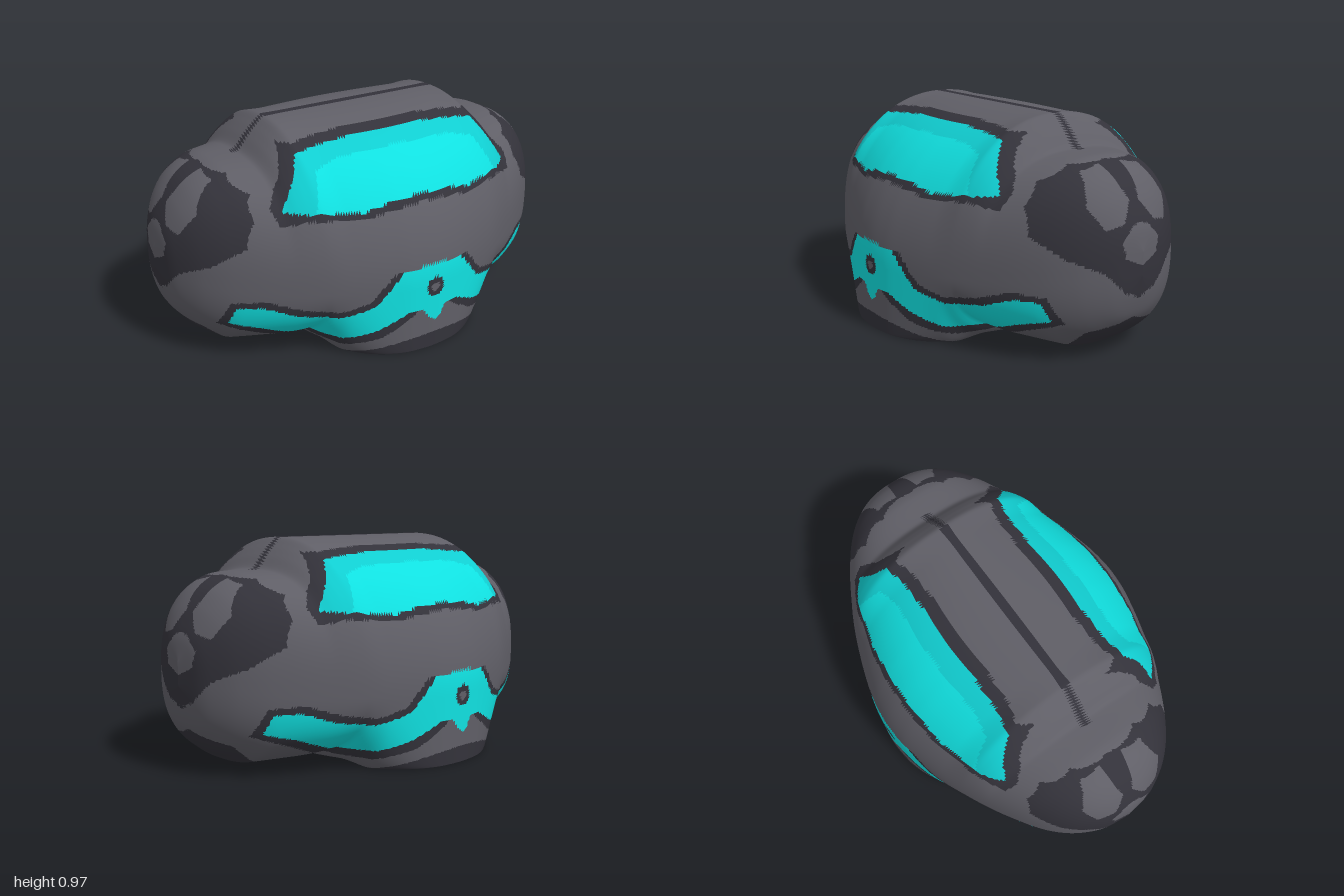
import * as THREE from 'three';

const material = (name, color) => {
  const m = new THREE.MeshStandardMaterial({ color, side: THREE.DoubleSide });
  m.name = name;
  return m;
};

// Smooth monotone interpolation through [x, value] points
function curve(points) {
  const slope = (i) => (points[i + 1][1] - points[i][1]) / (points[i + 1][0] - points[i][0]);
  const tangent = (i) => {
    if (i === 0 || i === points.length - 1) return i === 0 ? 0 : slope(i - 1);
    const a = slope(i - 1), b = slope(i);
    return a * b <= 0 ? 0 : (2 * a * b) / (a + b);
  };
  return (x) => {
    let i = 0;
    while (i < points.length - 2 && x > points[i + 1][0]) i++;
    const h = points[i + 1][0] - points[i][0];
    const t = (x - points[i][0]) / h, t2 = t * t, t3 = t2 * t;
    return (2 * t3 - 3 * t2 + 1) * points[i][1] + (t3 - 2 * t2 + t) * h * tangent(i)
      + (3 * t2 - 2 * t3) * points[i + 1][1] + (t3 - t2) * h * tangent(i + 1);
  };
}

// Half depth, top edge and bottom edge along the half length
const depth = curve([[0, 0.68], [0.1, 0.672], [0.2, 0.65], [0.4, 0.585], [0.6, 0.49], [0.8, 0.365],
  [0.9, 0.27], [0.96, 0.175], [0.985, 0.11], [1, 0]]);
const top = curve([[0, 0.97], [0.45, 0.97], [0.5, 0.935], [0.54, 0.895], [0.6, 0.835], [0.72, 0.83],
  [0.8, 0.805], [0.86, 0.77], [0.92, 0.705], [0.96, 0.635], [0.985, 0.57], [1, 0.48]]);
const bottom = curve([[0, 0], [0.36, 0], [0.42, 0.03], [0.77, 0.03], [0.84, 0.07], [0.88, 0.1],
  [0.93, 0.155], [0.96, 0.2], [0.985, 0.28], [1, 0.38]]);

// Point of the shell: x along the length, v from front rim (-1) over the crest (1) to the back rim (3)
function shellPoint(x, v) {
  const ax = Math.abs(x), side = v <= 1 ? 1 : -1;
  const w = v <= 1 ? v : 2 - v;
  const n = 2 + 0.5 * THREE.MathUtils.smoothstep(ax, 0.35, 0.6);
  const a = Math.abs(w) * Math.PI / 2;
  const c = Math.pow(Math.max(0, Math.cos(a)), 2 / n), s = Math.pow(Math.sin(a), 2 / n);
  const mid = 0.31 + 0.11 * ax * ax;
  if (w >= 0) return [x, mid + (top(ax) - mid) * s, side * depth(ax) * c];
  const open = Math.sqrt(Math.max(0, 1 - Math.pow(ax / 0.46, 4)));
  return [x, mid - (mid - bottom(ax)) * s, side * depth(ax) * (open + (1 - open) * c)];
}

function inside(poly, x, y) {
  let hit = false;
  for (let i = 0, j = poly.length - 1; i < poly.length; j = i++) {
    const [xi, yi] = poly[i], [xj, yj] = poly[j];
    if ((yi > y) !== (yj > y) && x < ((xj - xi) * (y - yi)) / (yj - yi) + xi) hit = !hit;
  }
  return hit;
}

// Outlines of half patterns: front ones in (x, y), end ones in (z, y)
const WINDOW = [[-0.01, 0.908], [0.2, 0.905], [0.47, 0.885], [0.52, 0.8], [0.595, 0.685], [0.5, 0.675],
  [0.28, 0.655], [0.15, 0.68], [-0.01, 0.69]];
const WINDOW_INNER = [[-0.01, 0.862], [0.3, 0.85], [0.42, 0.82], [0.48, 0.67], [0.28, 0.6], [-0.01, 0.6]];
const WINDOW_TRIM = [[-0.01, 0.932], [0.2, 0.93], [0.5, 0.912], [0.56, 0.8], [0.635, 0.7], [0.615, 0.63],
  [0.5, 0.65], [0.28, 0.63], [0.15, 0.65], [-0.01, 0.66]];
const STRIP = [[-0.01, 0.4], [0.15, 0.4], [0.19, 0.35], [0.28, 0.25], [0.42, 0.21], [0.58, 0.235],
  [0.71, 0.285], [0.8, 0.28], [0.82, 0.2], [0.71, 0.17], [0.52, 0.1], [0.39, 0.09], [0.26, 0.135],
  [0.12, 0.2], [0.06, 0.195], [0.03, 0.15], [-0.01, 0.12]];
const STRIP_TRIM = [[0.15, 0.4], [0.2, 0.385], [0.3, 0.275], [0.42, 0.24], [0.56, 0.265], [0.7, 0.315],
  [0.82, 0.305], [0.855, 0.19], [0.73, 0.145], [0.54, 0.07], [0.39, 0.05], [0.24, 0.095], [0.11, 0.175],
  [0.08, 0.2]];
const END_PATCH = [[-0.01, 0.82], [0.17, 0.81], [0.3, 0.75], [0.37, 0.66], [0.385, 0.55], [0.3, 0.47],
  [0.17, 0.41], [0.08, 0.32], [-0.01, 0.28]];
const END_ISLAND = [[0.06, 0.81], [0.16, 0.79], [0.21, 0.67], [0.16, 0.58], [0.08, 0.6], [0.025, 0.68]];
const END_SPOT = [[-0.01, 0.6], [0.04, 0.59], [0.1, 0.53], [0.08, 0.46], [-0.01, 0.42]];
const LOW_PATCH = [[-0.01, 0.2], [0.06, 0.17], [0.19, 0.14], [0.2, 0.06], [0.12, 0], [-0.01, 0]];

// Which part covers a point of the shell
function partAt(px, y, pz) {
  const x = Math.abs(px), z = Math.abs(pz);
  if (z < 0.016 && y > 0.6 && x < 0.62) return 'trim';
  const ring = Math.hypot(x, y - 0.295);
  if (ring < 0.022 && z > 0.3) return 'shell';
  if (ring < 0.045 && z > 0.3) return 'trim';
  if (inside(WINDOW, x, y)) return inside(WINDOW_INNER, x, y) ? 'glow' : 'glowEdge';
  if (inside(STRIP, x, y)) return 'glow';
  if (inside(WINDOW_TRIM, x, y) || inside(STRIP_TRIM, x, y)) return 'trim';
  if (x < 0.4 && y < 0.07 - 0.5 * x * x) return 'trim';
  if (x > 0.6 && inside(END_PATCH, z, y)) {
    return inside(END_ISLAND, z, y) || inside(END_SPOT, z, y) ? 'shell' : 'trim';
  }
  if (x > 0.46 && inside(LOW_PATCH, z, y)) return 'trim';
  return 'shell';
}

export function createModel() {
  const group = new THREE.Group();
  group.name = 'helmetShell';
  const NX = 240, NV = 200;

  // Shell grid, with closer stations towards the rounded ends
  const positions = [];
  for (let j = 0; j <= NV; j++) {
    for (let i = 0; i <= NX; i++) {
      const u = (2 * i) / NX - 1;
      const x = Math.sign(u) * (1 - Math.pow(1 - Math.abs(u), 1.5));
      positions.push(...shellPoint(x, (4 * j) / NV - 1));
    }
  }

  // Sort the faces into the coloured parts
  const faces = { shell: [], trim: [], glow: [], glowEdge: [] };
  const all = [];
  const addFace = (...tri) => {
    const mid = [0, 1, 2].map((k) => tri.reduce((sum, v) => sum + positions[v * 3 + k], 0) / 3);
    faces[partAt(...mid)].push(...tri);
    all.push(...tri);
  };
  for (let j = 0; j < NV; j++) {
    for (let i = 0; i < NX; i++) {
      const a = j * (NX + 1) + i, b = a + 1, d = a + NX + 1, c = d + 1;
      addFace(a, b, c);
      addFace(a, c, d);
    }
  }

  // Smooth normals shared by all the parts
  const base = new THREE.BufferGeometry();
  base.setAttribute('position', new THREE.Float32BufferAttribute(positions, 3));
  base.setIndex(all);
  base.computeVertexNormals();

  const parts = {
    shell: ['outerShell', material('grey', 0x5f5e66)],
    trim: ['darkTrim', material('darkGrey', 0x33323a)],
    glow: ['visorAndStrip', material('cyan', 0x10e0e0)],
    glowEdge: ['visorEdge', material('deepCyan', 0x10cdd0)],
  };
  for (const [key, [name, mat]] of Object.entries(parts)) {
    const geometry = new THREE.BufferGeometry();
    geometry.setAttribute('position', base.getAttribute('position'));
    geometry.setAttribute('normal', base.getAttribute('normal'));
    geometry.setIndex(faces[key]);
    const mesh = new THREE.Mesh(geometry, mat);
    mesh.name = name;
    group.add(mesh);
  }
  return group;
}
